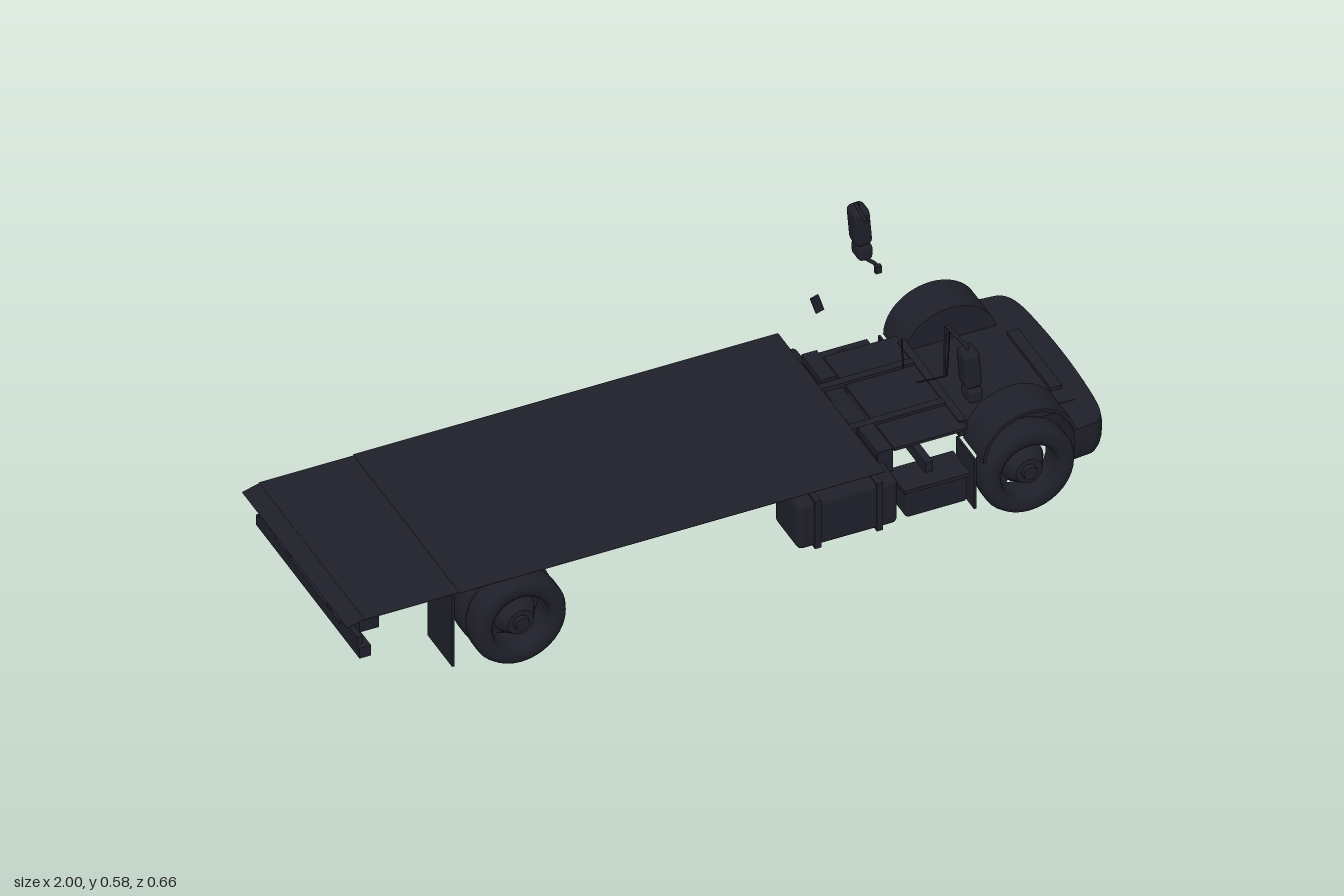
import * as THREE from 'three';
import { RoundedBoxGeometry } from 'three/addons/geometries/RoundedBoxGeometry.js';

const paint = new THREE.MeshStandardMaterial({ color: 0x1f1f2a, side: THREE.DoubleSide });
paint.name = 'dark navy';

export function createModel() {
  const root = new THREE.Group();
  root.name = 'truckChassis';

  const add = (name, geo, x = 0, y = 0, z = 0, parent = root) => {
    const m = new THREE.Mesh(geo, paint);
    m.name = name;
    m.position.set(x, y, z);
    parent.add(m);
    return m;
  };
  // Box given by its limits, optionally with rounded edges
  const box = (name, x0, x1, y0, y1, z0, z1, r = 0) => {
    const d = [x1 - x0, y1 - y0, z1 - z0];
    const geo = r ? new RoundedBoxGeometry(...d, 2, r) : new THREE.BoxGeometry(...d);
    return add(name, geo, (x0 + x1) / 2, (y0 + y1) / 2, (z0 + z1) / 2);
  };
  // The same box on both sides of the truck
  const pair = (name, x0, x1, y0, y1, z0, z1, r) => {
    box(name + 'Left', x0, x1, y0, y1, z0, z1, r);
    box(name + 'Right', x0, x1, y0, y1, -z1, -z0, r);
  };
  // Round bar between two points
  const bar = (name, a, b, r, n = 12) => {
    const p = new THREE.Vector3(...a), q = new THREE.Vector3(...b);
    const m = add(name, new THREE.CylinderGeometry(r, r, p.distanceTo(q), n));
    m.position.copy(p).lerp(q, 0.5);
    m.quaternion.setFromUnitVectors(new THREE.Vector3(0, 1, 0), q.sub(p).normalize());
    return m;
  };

  // Load deck of thin sheet, with a drooping tail edge
  box('deck', -0.71, 0.39, 0.2645, 0.2655, -0.295, 0.295);
  box('rearDeck', -0.955, -0.71, 0.2635, 0.2645, -0.292, 0.292);
  const tail = box('deckTailEdge', -1, -0.953, 0.257, 0.258, -0.29, 0.29);
  tail.rotation.z = 0.26;
  box('deckFrontPlate', 0.387, 0.39, 0.22, 0.265, -0.17, 0.17);

  // Ladder frame
  pair('frameRail', -0.96, 0.64, 0.19, 0.25, 0.075, 0.095);
  for (const x of [-0.9, -0.7, -0.4, -0.1, 0.15])
    box('crossMember', x - 0.012, x + 0.012, 0.2, 0.245, -0.08, 0.08);

  // Rear lamp bar and under-run guard
  box('rearLampBar', -0.965, -0.915, 0.225, 0.258, -0.285, 0.285);
  box('underrunBar', -0.965, -0.935, 0.148, 0.178, -0.285, 0.285);
  pair('guardStrut', -0.962, -0.935, 0.17, 0.24, 0.1, 0.125);
  pair('lampHolder', -0.965, -0.95, 0.178, 0.2, 0.18, 0.27);

  // Mudflaps
  pair('rearMudflap', -0.728, -0.722, 0.05, 0.262, 0.155, 0.29);
  pair('frontMudflap', 0.634, 0.64, 0.055, 0.2, 0.165, 0.265);

  // Wheels: tyre ring with an open gap around a recessed hub
  const wheel = (name, x, z, w, side) => {
    const g = new THREE.Group();
    g.name = name;
    const h = w / 2;
    const pts = [[0.073, -h], [0.1, -h], [0.115, -h * 0.85], [0.121, -h * 0.5],
      [0.121, h * 0.5], [0.115, h * 0.85], [0.1, h], [0.085, h * 0.92], [0.073, h * 0.8], [0.073, -h]];
    add('tyre', new THREE.LatheGeometry(pts.map(p => new THREE.Vector2(...p)), 36), 0, 0, 0, g);
    add('hub', new THREE.CylinderGeometry(0.034, 0.057, w * 0.6, 24), 0, h * 0.2, 0, g);
    add('hubCap', new THREE.CylinderGeometry(0.018, 0.022, 0.02, 16), 0, h * 0.8, 0, g);
    // Bridge between hub and tyre over part of the turn
    const bridge = add('rimDisc', new THREE.RingGeometry(0.04, 0.074, 24, 1, Math.PI * 0.45, Math.PI * 0.8), 0, -h * 0.2, 0, g);
    bridge.rotation.x = -Math.PI / 2;
    g.position.set(x, 0.124, z * side);
    g.rotation.x = side * Math.PI / 2;
    root.add(g);
  };
  for (const s of [1, -1]) {
    wheel('frontWheel', 0.775, 0.24, 0.072, s);
    wheel('rearOuterWheel', -0.55, 0.261, 0.074, s);
    wheel('rearInnerWheel', -0.55, 0.185, 0.07, s);
  }

  // Axles, differential and drive shaft
  bar('rearAxle', [-0.55, 0.125, -0.23], [-0.55, 0.125, 0.23], 0.027);
  bar('frontAxle', [0.775, 0.125, -0.23], [0.775, 0.125, 0.23], 0.018);
  add('differential', new THREE.SphereGeometry(0.05, 20, 14), -0.55, 0.125, 0);
  bar('driveShaft', [-0.5, 0.128, 0], [0.2, 0.182, 0], 0.015);
  box('gearbox', 0.17, 0.45, 0.15, 0.24, -0.05, 0.05, 0.02);
  box('engine', 0.42, 0.66, 0.13, 0.235, -0.07, 0.07, 0.02);
  for (const s of [1, -1]) {
    bar('rearSpring', [-0.69, 0.145, 0.11 * s], [-0.4, 0.135, 0.11 * s], 0.012);
    add('airBellows', new THREE.CylinderGeometry(0.02, 0.02, 0.05, 14), -0.685, 0.14, 0.11 * s);
    bar('shockAbsorber', [-0.62, 0.12, 0.12 * s], [-0.6, 0.22, 0.1 * s], 0.012);
  }

  // Side tanks, steps and cab supports
  pair('tank', 0.17, 0.43, 0.093, 0.225, 0.15, 0.285, 0.015);
  for (const x of [0.22, 0.38]) pair('tankStrap', x - 0.008, x + 0.008, 0.09, 0.229, 0.14, 0.288);
  pair('batteryBox', 0.45, 0.61, 0.097, 0.178, 0.19, 0.282, 0.01);
  pair('step', 0.445, 0.615, 0.172, 0.182, 0.19, 0.285);
  pair('stepBracket', 0.52, 0.54, 0.18, 0.21, 0.09, 0.24);
  pair('cabMount', 0.41, 0.45, 0.19, 0.255, 0.1, 0.21);
  box('cabRearBeam', 0.408, 0.452, 0.2, 0.238, -0.205, 0.205);

  // Cab floor
  box('cabRearFloor', 0.46, 0.65, 0.234, 0.242, -0.195, 0.195);
  box('cabFloor', 0.65, 0.94, 0.2, 0.215, -0.17, 0.17);
  box('cabCrossBeam', 0.64, 0.66, 0.2, 0.245, -0.17, 0.17);
  box('floorStep', 0.9, 0.93, 0.2, 0.225, -0.12, 0.12);

  // Front wheel housings: hollow arch with a closed inner wall
  const halfOval = (rx, ry, target) => {
    target.absellipse(0.775, 0.19, rx, ry, 0, Math.PI, false, 0);
    return target;
  };
  const ring = halfOval(0.122, 0.115, new THREE.Shape());
  ring.absellipse(0.775, 0.19, 0.114, 0.107, Math.PI, 0, true, 0);
  const wall = halfOval(0.122, 0.115, new THREE.Shape());
  for (const s of [1, -1]) {
    add('wheelArch', new THREE.ExtrudeGeometry(ring, { depth: 0.109, bevelEnabled: false, curveSegments: 24 }),
      0, 0, s > 0 ? 0.167 : -0.276);
    add('archInnerWall', new THREE.ExtrudeGeometry(wall, { depth: 0.006, bevelEnabled: false, curveSegments: 24 }),
      0, 0, s > 0 ? 0.165 : -0.171);
  }

  // Front bumper: rounded plan extruded upwards, tapering inwards below
  const plan = new THREE.Shape();
  plan.moveTo(0.89, -0.276);
  plan.lineTo(0.945, -0.271);
  plan.bezierCurveTo(0.98, -0.262, 0.985, -0.22, 0.99, -0.17);
  plan.quadraticCurveTo(1.004, 0, 0.99, 0.17);
  plan.bezierCurveTo(0.985, 0.22, 0.98, 0.262, 0.945, 0.271);
  plan.lineTo(0.89, 0.276);
  const bumper = new THREE.ExtrudeGeometry(plan, { depth: 0.1, steps: 5, bevelEnabled: false, curveSegments: 12 });
  bumper.rotateX(Math.PI / 2);
  const p = bumper.attributes.position;
  for (let i = 0; i < p.count; i++) {
    const t = -p.getY(i) / 0.1;
    const slope = 0.2 * Math.max(0, 0.25 - t);
    p.setX(i, 0.89 + (p.getX(i) - 0.89) * (1 - 0.09 * t ** 4 - slope));
    p.setZ(i, p.getZ(i) * (1 - 0.06 * t ** 4));
  }
  bumper.computeVertexNormals();
  add('frontBumper', bumper, 0, 0.213, 0);
  box('bumperLowerLip', 0.88, 0.965, 0.106, 0.115, -0.2, 0.2);

  // Bumper vents and fog lamp surrounds
  const surround = (name, z, w, h) => {
    const s = new THREE.Shape([[-w, -h], [w, -h], [w * 0.95, h], [-w * 0.95, h]].map(a => new THREE.Vector2(...a)));
    s.holes.push(new THREE.Path([[-w + 0.006, -h + 0.005], [-w + 0.006, h - 0.005],
      [w - 0.006, h - 0.005], [w - 0.006, -h + 0.005]].map(a => new THREE.Vector2(...a))));
    const m = add(name, new THREE.ExtrudeGeometry(s, { depth: 0.007, bevelEnabled: false }), 0.993, 0.152, z);
    m.rotation.y = Math.PI / 2;
  };
  surround('centreVent', 0, 0.06, 0.016);
  surround('fogLampSurround', 0.1, 0.024, 0.014);
  surround('fogLampSurround', -0.1, 0.024, 0.014);

  // Door mirrors on bent arms
  for (const s of [1, -1]) {
    const arm = pts => new THREE.TubeGeometry(
      new THREE.CatmullRomCurve3(pts.map(a => new THREE.Vector3(a[0], a[1], a[2] * s)), false, 'catmullrom', 0.1), 20, 0.005, 6);
    const mirror = box('mirror', 0.582, 0.626, 0.46, 0.565, 0.276, 0.33, 0.014);
    const small = box('wideAngleMirror', 0.592, 0.63, 0.416, 0.459, 0.277, 0.33, 0.012);
    mirror.position.z *= s;
    small.position.z *= s;
    mirror.rotation.z = 0.08;
    add('mirrorUpperArm', arm([[0.6, 0.555, 0.302], [0.598, 0.574, 0.302], [0.59, 0.581, 0.29], [0.585, 0.58, 0.222]]));
    add('mirrorLowerArm', arm([[0.612, 0.42, 0.302], [0.622, 0.404, 0.302], [0.632, 0.402, 0.285], [0.635, 0.403, 0.262]]));
    const foot = box('mirrorFoot', 0.622, 0.638, 0.394, 0.414, 0.25, 0.262);
    foot.position.z *= s;
  }

  // Thin window trim on the left and handle fragment on the right
  bar('windowTrimFront', [0.58, 0.58, 0.221], [0.575, 0.445, 0.229], 0.003, 6);
  bar('windowTrimInner', [0.588, 0.575, 0.229], [0.578, 0.445, 0.235], 0.002, 6);
  bar('windowTrimRear', [0.468, 0.58, 0.22], [0.468, 0.5, 0.228], 0.002, 6);
  bar('windowTrimLower', [0.5, 0.45, 0.234], [0.575, 0.445, 0.234], 0.002, 6);
  const handle = box('doorHandle', 0.46, 0.482, 0.33, 0.378, -0.256, -0.25);
  handle.rotation.z = 0.3;

  return root;
}
